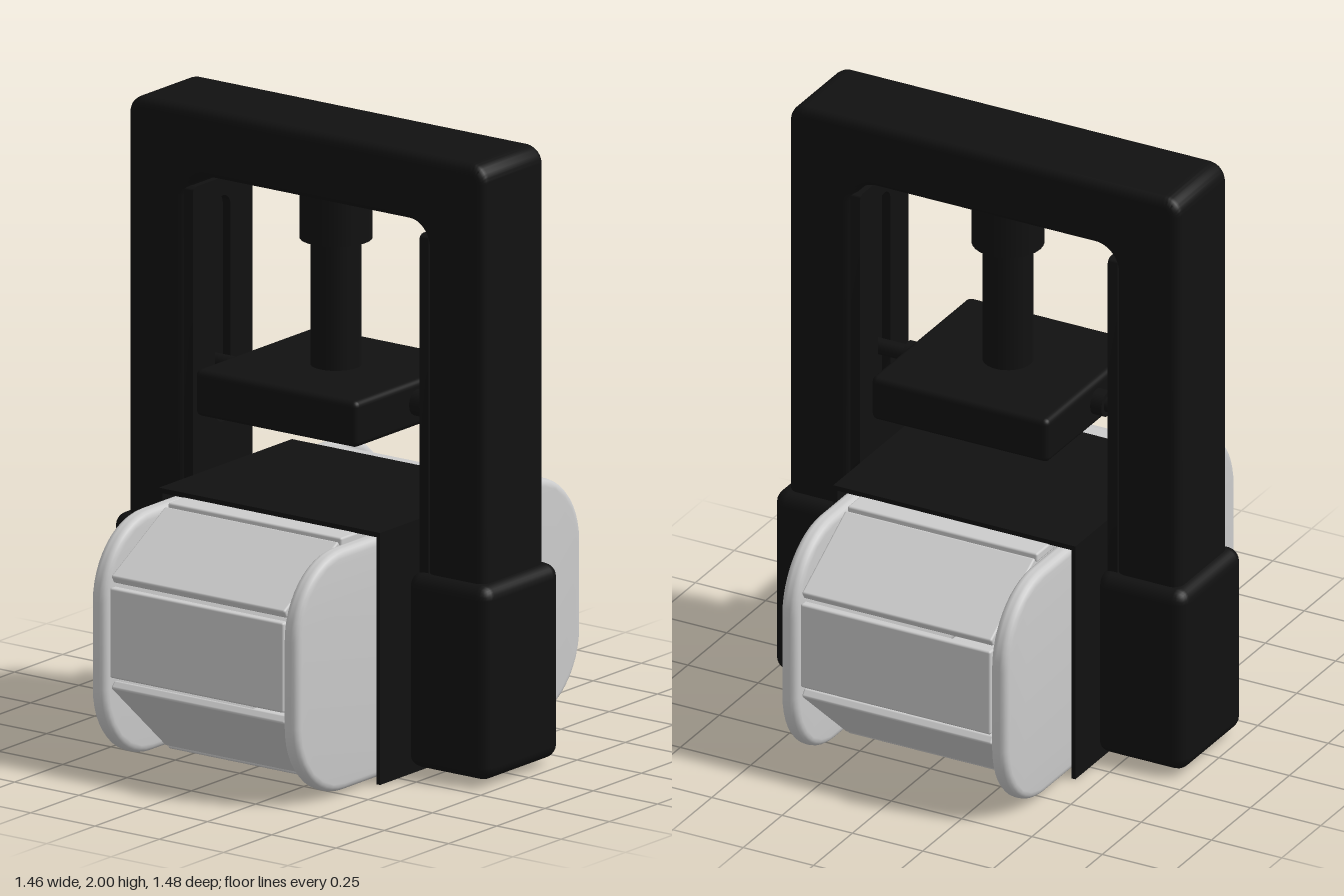
import * as THREE from 'three';
import { RoundedBoxGeometry } from 'three/addons/geometries/RoundedBoxGeometry.js';
import { toCreasedNormals } from 'three/addons/utils/BufferGeometryUtils.js';

const black = new THREE.MeshStandardMaterial({ color: 0x111111 });
const grey = new THREE.MeshStandardMaterial({ color: 0xcccccc });

export function createModel() {
  const model = new THREE.Group();

  const add = (name, geometry, material, x = 0, y = 0, z = 0) => {
    const mesh = new THREE.Mesh(geometry, material);
    mesh.name = name;
    mesh.position.set(x, y, z);
    model.add(mesh);
    return mesh;
  };
  const box = (name, w, h, d, r, material, x, y, z) =>
    add(name, new RoundedBoxGeometry(w, h, d, 3, r), material, x, y, z);

  // Extrudes a shape with rounded rims, keeping its outline and total depth
  const extrude = (shape, depth, bevel, curveSegments = 8) => {
    const geometry = new THREE.ExtrudeGeometry(shape, {
      depth: depth - 2 * bevel, curveSegments, bevelEnabled: bevel > 0,
      bevelThickness: bevel, bevelSize: bevel, bevelOffset: -bevel, bevelSegments: 4,
    });
    geometry.translate(0, 0, bevel - depth / 2);
    return toCreasedNormals(geometry, 0.6);
  };

  // Rounded rectangle, as an outline or a hole
  const roundedRect = (path, x0, y0, x1, y1, r) => {
    path.moveTo(x0 + r, y0);
    path.lineTo(x1 - r, y0);
    path.absarc(x1 - r, y0 + r, r, -Math.PI / 2, 0);
    path.lineTo(x1, y1 - r);
    path.absarc(x1 - r, y1 - r, r, 0, Math.PI / 2);
    path.lineTo(x0 + r, y1);
    path.absarc(x0 + r, y1 - r, r, Math.PI / 2, Math.PI);
    path.lineTo(x0, y0 + r);
    path.absarc(x0 + r, y0 + r, r, Math.PI, Math.PI * 1.5);
    return path;
  };

  // Gantry frame: two legs and a top beam
  const arch = new THREE.Shape();
  arch.moveTo(0.47, 0.1);
  arch.lineTo(0.695, 0.1);
  arch.lineTo(0.695, 1.94);
  arch.absarc(0.635, 1.94, 0.06, 0, Math.PI / 2);
  arch.lineTo(-0.635, 2);
  arch.absarc(-0.635, 1.94, 0.06, Math.PI / 2, Math.PI);
  arch.lineTo(-0.695, 0.1);
  arch.lineTo(-0.47, 0.1);
  arch.lineTo(-0.47, 1.7);
  arch.absarc(-0.39, 1.7, 0.08, Math.PI, Math.PI / 2, true);
  arch.lineTo(0.39, 1.78);
  arch.absarc(0.39, 1.7, 0.08, Math.PI / 2, 0, true);
  add('frame', extrude(arch, 0.32, 0.03), black);

  // Slotted guide on the inner face of each leg
  const guide = roundedRect(new THREE.Shape(), -0.155, 0.3, 0.155, 1.74, 0.02);
  guide.holes.push(roundedRect(new THREE.Path(), -0.04, 0.95, 0.04, 1.68, 0.039));
  const guideGeometry = extrude(guide, 0.035, 0);
  guideGeometry.rotateY(Math.PI / 2);

  // End plate of the conveyor, outlined in z and y
  const plate = roundedRect(new THREE.Shape(), -0.74, 0.01, 0.74, 0.79, 0.25);
  const plateGeometry = extrude(plate, 0.06, 0.024, 6);
  plateGeometry.rotateY(Math.PI / 2);

  const pinGeometry = new THREE.CylinderGeometry(0.026, 0.026, 0.18, 16).rotateZ(Math.PI / 2);
  const collarGeometry = new THREE.CylinderGeometry(0.042, 0.042, 0.06, 16).rotateZ(Math.PI / 2);

  for (const side of [1, -1]) {
    const label = side > 0 ? 'left' : 'right';
    add(label + 'Guide', guideGeometry, black, side * 0.4575, 0, 0);
    box(label + 'LegSleeve', 0.32, 0.63, 0.39, 0.045, black, side * 0.572, 0.335, 0);
    add(label + 'GuidePin', pinGeometry, black, side * 0.39, 1.14, 0);
    add(label + 'PinCollar', collarGeometry, black, side * 0.325, 1.14, 0);
    add(label + 'CoverWall', new THREE.BoxGeometry(0.014, 0.815, 0.69), black, side * 0.423, 0.4075, 0);
    add(label + 'ConveyorPlate', plateGeometry, grey, side * 0.373, 0, 0);
  }

  // Tunnel cover over the conveyor
  add('coverTop', new THREE.BoxGeometry(0.86, 0.016, 0.69), black, 0, 0.807, 0);

  // Press ram
  add('ramCylinder', new THREE.CylinderGeometry(0.114, 0.114, 0.18, 32), black, 0, 1.71, 0);
  add('ramRod', new THREE.CylinderGeometry(0.08, 0.08, 0.5, 32), black, 0, 1.42, 0);
  box('pressPlate', 0.63, 0.15, 0.63, 0.02, black, 0, 1.135, 0);

  // Belt loop (z, y): flat slats laid along an eight-sided path
  const loop = [[0.43, 0.77], [0.725, 0.6], [0.725, 0.295], [0.43, 0.035],
    [-0.43, 0.035], [-0.725, 0.295], [-0.725, 0.6], [-0.43, 0.77]];
  const thickness = 0.03;
  loop.forEach(([z0, y0], i) => {
    const [z1, y1] = loop[(i + 1) % loop.length];
    const dz = z1 - z0, dy = y1 - y0;
    const length = Math.hypot(dz, dy);
    const count = Math.round(length / 0.3);
    for (let k = 0; k < count; k++) {
      const t = (k + 0.5) / count;
      const slat = box('beltSlat', 0.675, thickness, length / count - 0.014, 0.007, grey,
        0, y0 + dy * t, z0 + dz * t);
      slat.rotation.x = Math.atan2(-dy, dz);
      // Sink each slat so its outer face lies on the path
      slat.position.y -= (dz / length) * -thickness / 2;
      slat.position.z += (dy / length) * thickness / 2;
    }
  });

  return model;
}
